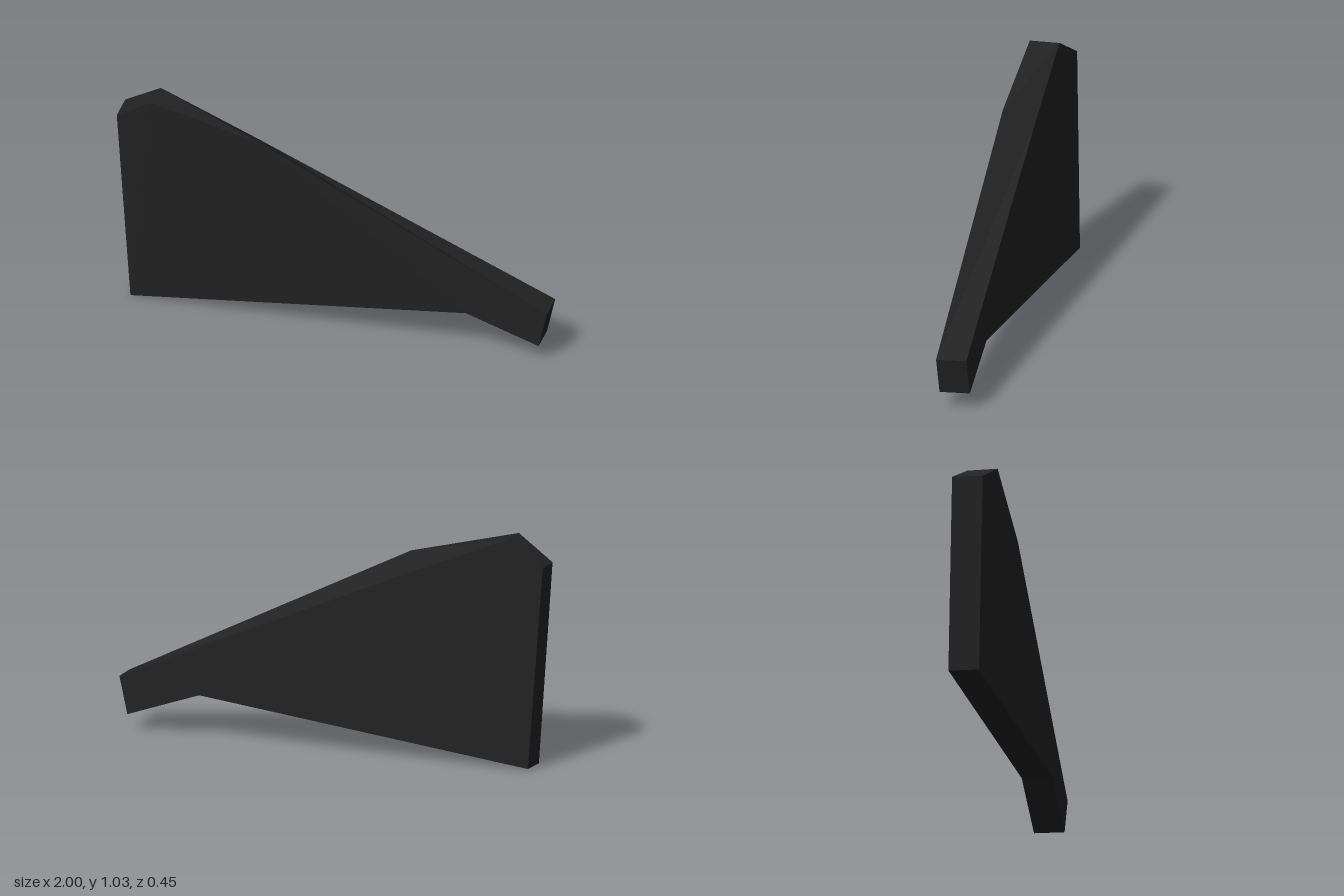
import * as THREE from 'three';

// Matching outlines of the two broad sides, clockwise from the upper left corner
const FRONT = [
  [-0.975, 0.92, 0.215], [-0.8, 1.03, 0.223], [-0.3, 0.905, 0.14], [1, 0.245, -0.09],
  [0.96, 0.075, -0.09], [0.63, 0.19, -0.03], [-0.925, 0, 0.18],
];
const BACK = [
  [-1, 0.925, 0.08], [-0.82, 1.033, 0.088], [-0.36, 0.84, 0.01], [0.975, 0.25, -0.225],
  [0.935, 0.08, -0.225], [0.605, 0.195, -0.165], [-0.945, 0.008, 0.043],
];
// Triangles that fill one broad side, counterclockwise from the front
const FILL = [[6, 1, 0], [6, 2, 1], [6, 5, 2], [5, 3, 2], [5, 4, 3]];

function finGeometry() {
  const n = FRONT.length;
  const positions = [];
  const tri = (a, b, c) => positions.push(...a, ...b, ...c);

  // Broad sides
  for (const [a, b, c] of FILL) {
    tri(FRONT[a], FRONT[b], FRONT[c]);
    tri(BACK[c], BACK[b], BACK[a]);
  }
  // Rim joining the two outlines
  for (let i = 0; i < n; i++) {
    const j = (i + 1) % n;
    tri(FRONT[i], FRONT[j], BACK[i]);
    tri(FRONT[j], BACK[j], BACK[i]);
  }

  const geometry = new THREE.BufferGeometry();
  geometry.setAttribute('position', new THREE.Float32BufferAttribute(positions, 3));
  geometry.computeVertexNormals();
  return geometry;
}

export function createModel() {
  const model = new THREE.Group();
  const charcoal = new THREE.MeshStandardMaterial({ color: 0x222222 });
  charcoal.name = 'charcoal';

  const fin = new THREE.Mesh(finGeometry(), charcoal);
  fin.name = 'finPlate';
  model.add(fin);
  return model;
}
